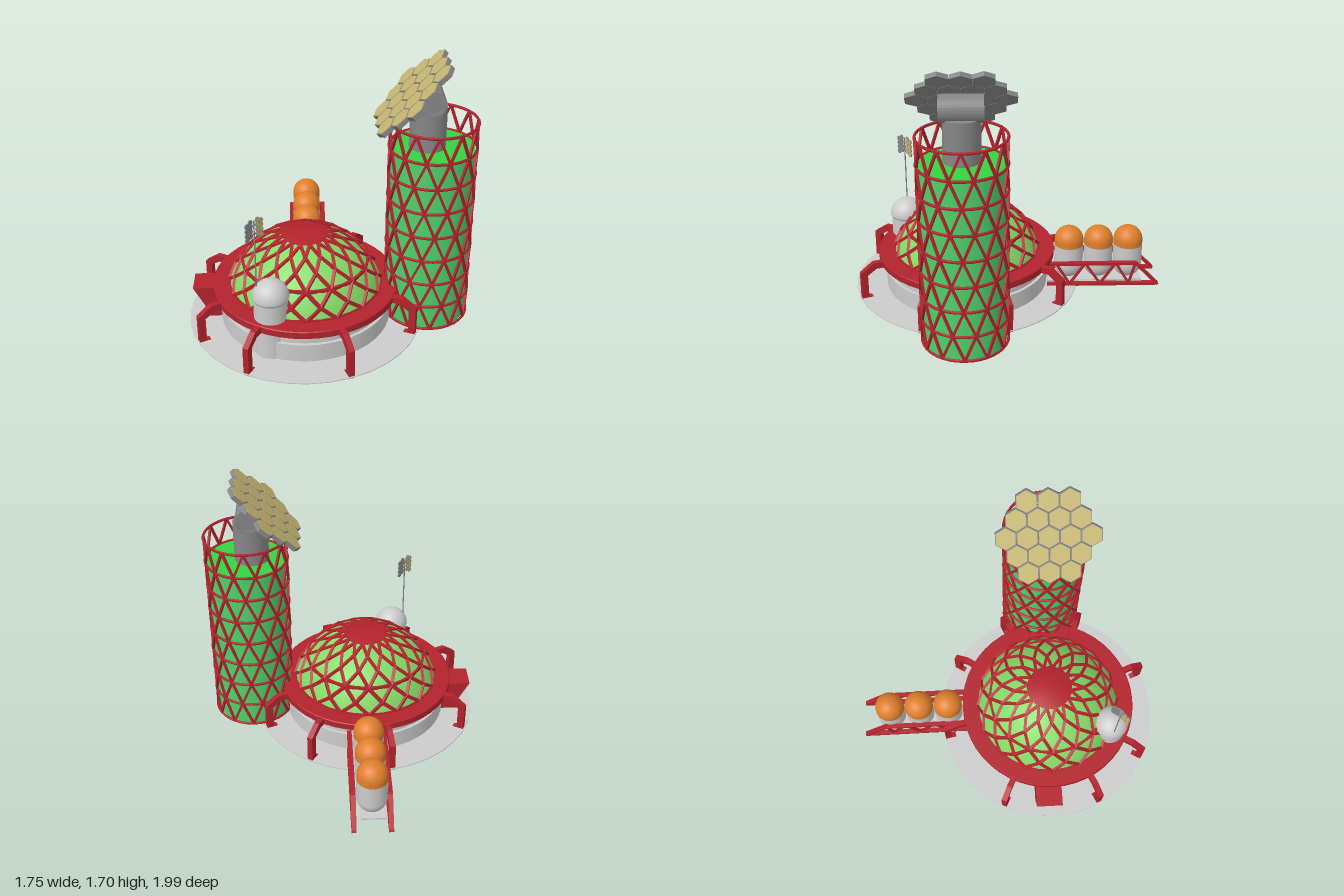
import * as THREE from 'three';
import { mergeGeometries } from 'three/addons/utils/BufferGeometryUtils.js';

const mat = (color, extra = {}) => new THREE.MeshStandardMaterial({ color, ...extra });
const RED = mat(0xb3232d), GREY = mat(0xcccccc), DARK = mat(0x868686), GOLD = mat(0xc5b572);
const ORANGE = mat(0xe07f2c), TOWER = mat(0x4fd06a), CAP = mat(0x36d243), GLASS = mat(0x84d966);
const V = (x, y, z) => new THREE.Vector3(x, y, z);
const HUB = V(-0.145, 0, 0.265);

function add(parent, name, geo, material, x = 0, y = 0, z = 0) {
  const m = new THREE.Mesh(geo, material);
  m.name = name;
  m.position.set(x, y, z);
  parent.add(m);
  return m;
}

// square bars between pairs of points, merged into one mesh
function addBars(parent, name, pairs, w, h = w) {
  const o = new THREE.Object3D();
  const geos = pairs.map(([a, b]) => {
    o.position.copy(a).lerp(b, 0.5);
    o.lookAt(b);
    o.updateMatrix();
    return new THREE.BoxGeometry(w, h, a.distanceTo(b) + w * 0.5).applyMatrix4(o.matrix);
  });
  return add(parent, name, mergeGeometries(geos), RED);
}

const ringPoints = (r, y, n, shift) => Array.from({ length: n }, (_, i) => {
  const a = (i + shift) / n * Math.PI * 2;
  return V(r * Math.sin(a), y, r * Math.cos(a));
});

// stacked rings, each turned half a step, joined by zigzag bars
function lattice(levels, n, hasHoop) {
  const pairs = [];
  const rings = levels.map(([r, y], k) => ringPoints(r, y, n, (k % 2) / 2));
  rings.forEach((ring, k) => {
    for (let i = 0; i < n; i++) {
      if (hasHoop(k)) pairs.push([ring[i], ring[(i + 1) % n]]);
      if (k + 1 < rings.length) {
        const up = rings[k + 1];
        pairs.push([ring[i], up[i]], [ring[i], up[(i + (k % 2 ? 1 : n - 1)) % n]]);
      }
    }
  });
  return pairs;
}

// hexagonal mirror tiles facing local +y, corners towards local x
function hexPanel(name, cells, r, h) {
  const g = new THREE.Group();
  g.name = name;
  for (const [x, z] of cells) {
    const body = new THREE.CylinderGeometry(r, r, h, 6).toNonIndexed();
    body.computeVertexNormals();
    add(g, 'tileBack', body, DARK, x, 0, z).rotation.y = Math.PI / 6;
    add(g, 'tileMirror', new THREE.CylinderGeometry(r * 0.92, r * 0.92, h * 0.2, 6), GOLD, x, h * 0.5, z)
      .rotation.y = Math.PI / 6;
  }
  return g;
}

function buildHub(root) {
  const hub = new THREE.Group();
  hub.name = 'domeHub';
  hub.position.copy(HUB);
  root.add(hub);
  add(hub, 'basePad', new THREE.CylinderGeometry(0.73, 0.73, 0.006, 36), GREY, 0, 0.011, 0);
  // stepped drum wall under the ring
  add(hub, 'lowerWall', new THREE.CylinderGeometry(0.53, 0.53, 0.12, 48), GREY, 0, 0.07, 0);
  add(hub, 'upperWall', new THREE.CylinderGeometry(0.51, 0.51, 0.1, 48), GREY, 0, 0.17, 0);
  const profile = [[0.47, 0.21], [0.575, 0.21], [0.575, 0.25], [0.57, 0.255], [0.47, 0.255], [0.47, 0.21]];
  const ring = new THREE.LatheGeometry(profile.map(p => new THREE.Vector2(...p)), 48).toNonIndexed();
  ring.computeVertexNormals();
  add(hub, 'roofRing', ring, RED);

  // glass dome, its bars and red crown
  const R = 0.5, cy = 0.086;
  add(hub, 'glassDome', new THREE.SphereGeometry(R, 32, 12, 0, Math.PI * 2, 0, 1.24), GLASS, 0, cy, 0);
  const levels = [0.97, 0.85, 0.7, 0.53, 0.37, 0.22].map(f => {
    const a = f * 1.27;
    return [0.502 * Math.sin(a), cy + 0.502 * Math.cos(a)];
  });
  addBars(hub, 'domeBars', lattice(levels, 16, k => k === 0 || k === 2), 0.019);
  add(hub, 'domeCrown', new THREE.SphereGeometry(0.51, 32, 4, 0, Math.PI * 2, 0, 0.29), RED, 0, cy, 0);

  // bent legs around the ring
  const leg = new THREE.Shape([[0.55, 0.21], [0.62, 0.21], [0.678, 0.172], [0.678, 0.02], [0.64, 0.012], [0.64, 0],
    [0.722, 0], [0.722, 0.19], [0.635, 0.252], [0.55, 0.252]].map(p => new THREE.Vector2(...p)));
  const legGeo = new THREE.ExtrudeGeometry(leg, { depth: 0.036, bevelEnabled: false }).translate(0, 0, -0.018);
  for (const deg of [22, 69, 119, 154, 207, 259, 302, 338]) {
    add(hub, 'leg', legGeo, RED).rotation.y = -deg * Math.PI / 180;
  }

  // entrance block on the right-hand side
  const porch = new THREE.Shape([[-0.7, 0.22], [-0.63, 0.09], [-0.63, 0.012], [-0.5, 0.012], [-0.5, 0.22]]
    .map(p => new THREE.Vector2(...p)));
  add(hub, 'entrance', new THREE.ExtrudeGeometry(porch, { depth: 0.17, bevelEnabled: false }), RED, 0, 0, -0.115);
}

function buildTower(root) {
  const tower = new THREE.Group();
  tower.name = 'tower';
  tower.position.set(0.61, 0, 0.265);
  root.add(tower);
  add(tower, 'towerBody', new THREE.CylinderGeometry(0.247, 0.247, 1.125, 36, 1, true), TOWER, 0, 0.595, 0);
  for (const [y, flip] of [[1.1575, -1], [0.0325, 1]]) {
    add(tower, 'towerCap', new THREE.CircleGeometry(0.247, 36), CAP, 0, y, 0).rotation.x = flip * Math.PI / 2;
  }
  const levels = Array.from({ length: 9 }, (_, k) => [0.258, 0.033 + k * 0.1605]);
  addBars(tower, 'towerLattice', lattice(levels, 12, () => false), 0.014);
  for (const [r, y] of levels) {
    const hoop = add(tower, 'towerHoop', new THREE.TorusGeometry(r, 0.0085, 6, 36), RED, 0, y, 0);
    hoop.rotation.x = Math.PI / 2;
  }

  // mirror telescope on its column
  add(tower, 'telescopeColumn', new THREE.CylinderGeometry(0.108, 0.108, 0.26, 32), DARK, -0.035, 1.285, 0);
  const drum = [[0, -0.115], [0.062, -0.115], [0.062, -0.125], [0.08, -0.125], [0.08, 0.125], [0.062, 0.125],
    [0.062, 0.115], [0, 0.115]].map(p => new THREE.Vector2(...p));
  const drumGeo = new THREE.LatheGeometry(drum, 32).toNonIndexed();
  drumGeo.computeVertexNormals();
  add(tower, 'telescopePivot', drumGeo, DARK, -0.03, 1.465, 0).rotation.x = Math.PI / 2;
  const cells = [];
  for (let q = -2; q <= 2; q++) {
    const n = 5 - Math.abs(q);
    for (let i = 0; i < n; i++) cells.push([q * 0.1085, (i - (n - 1) / 2) * 0.125]);
  }
  const dish = hexPanel('mirrorDish', cells, 0.071, 0.028);
  dish.position.set(-0.133, 1.487, 0);
  dish.rotation.z = 0.795;
  tower.add(dish);
}

function buildSilo(root) {
  const silo = new THREE.Group();
  silo.name = 'silo';
  silo.position.set(-0.35, 0, 0.665);
  root.add(silo);
  add(silo, 'siloBody', new THREE.CylinderGeometry(0.102, 0.102, 0.38, 32), GREY, 0, 0.2, 0);
  add(silo, 'siloDome', new THREE.SphereGeometry(0.11, 32, 12, 0, Math.PI * 2, 0, Math.PI / 2), GREY, 0, 0.39, 0);
  add(silo, 'siloBand', new THREE.CylinderGeometry(0.11, 0.102, 0.015, 32), GREY, 0, 0.3825, 0);

  // antenna with two mirror panels facing opposite ways
  const antenna = new THREE.Group();
  antenna.name = 'antenna';
  antenna.position.set(-0.08, 0, 0.005);
  antenna.rotation.y = Math.PI / 4;
  silo.add(antenna);
  add(antenna, 'mast', new THREE.CylinderGeometry(0.004, 0.004, 0.5, 8), DARK, 0, 0.65, 0);
  for (const y of [0.815, 0.875]) add(antenna, 'crossArm', new THREE.BoxGeometry(0.09, 0.005, 0.005), DARK, 0, y, 0);
  const cells = [];
  for (const c of [0, 1]) for (let i = 0; i < 4; i++) cells.push([c * 0.026 - 0.013, (i - 1.75 + c * 0.5) * 0.03]);
  for (const s of [1, -1]) {
    const panel = hexPanel('antennaPanel', cells, 0.0165, 0.008);
    panel.position.set(s * 0.04, 0.846, 0);
    panel.rotation.x = s * Math.PI / 2;
    antenna.add(panel);
  }
}

function buildTanks(root) {
  const rack = new THREE.Group();
  rack.name = 'tankRack';
  root.add(rack);
  // capsule tanks with orange tops
  const r = 0.095;
  for (const z of [-0.8, -0.605, -0.41]) {
    add(rack, 'tankBottom', new THREE.SphereGeometry(r, 28, 10, 0, Math.PI * 2, Math.PI / 2, Math.PI / 2), GREY, -0.13, 0.12, z);
    add(rack, 'tankBody', new THREE.CylinderGeometry(r, r, 0.14, 28, 1, true), GREY, -0.13, 0.19, z);
    add(rack, 'tankBand', new THREE.CylinderGeometry(r, r, 0.03, 28, 1, true), ORANGE, -0.13, 0.275, z);
    add(rack, 'tankTop', new THREE.SphereGeometry(r, 28, 10, 0, Math.PI * 2, 0, Math.PI / 2), ORANGE, -0.13, 0.29, z);
  }
  add(rack, 'rackFloor', new THREE.BoxGeometry(0.19, 0.01, 0.62), GREY, -0.155, 0.019, -0.58);
  // trussed side rails
  const zig = [[0.17, -0.32], [0.02, -0.41], [0.17, -0.51], [0.02, -0.61], [0.17, -0.71], [0.02, -0.8], [0.17, -0.84]];
  for (const x of [-0.235, -0.015]) {
    const p = (y, z) => V(x, y, z);
    addBars(rack, 'rail', [[p(0.17, -0.27), p(0.17, -0.84)], [p(0.17, -0.84), p(0.02, -0.985)],
      [p(0.02, -0.985), p(0.02, -0.27)]], 0.03, 0.018);
    addBars(rack, 'railBraces', zig.slice(1).map((e, i) => [p(...zig[i]), p(...e)]), 0.016, 0.014);
  }
}

export function createModel() {
  const root = new THREE.Group();
  root.name = 'domeBase';
  buildHub(root);
  buildTower(root);
  buildSilo(root);
  buildTanks(root);
  return root;
}
